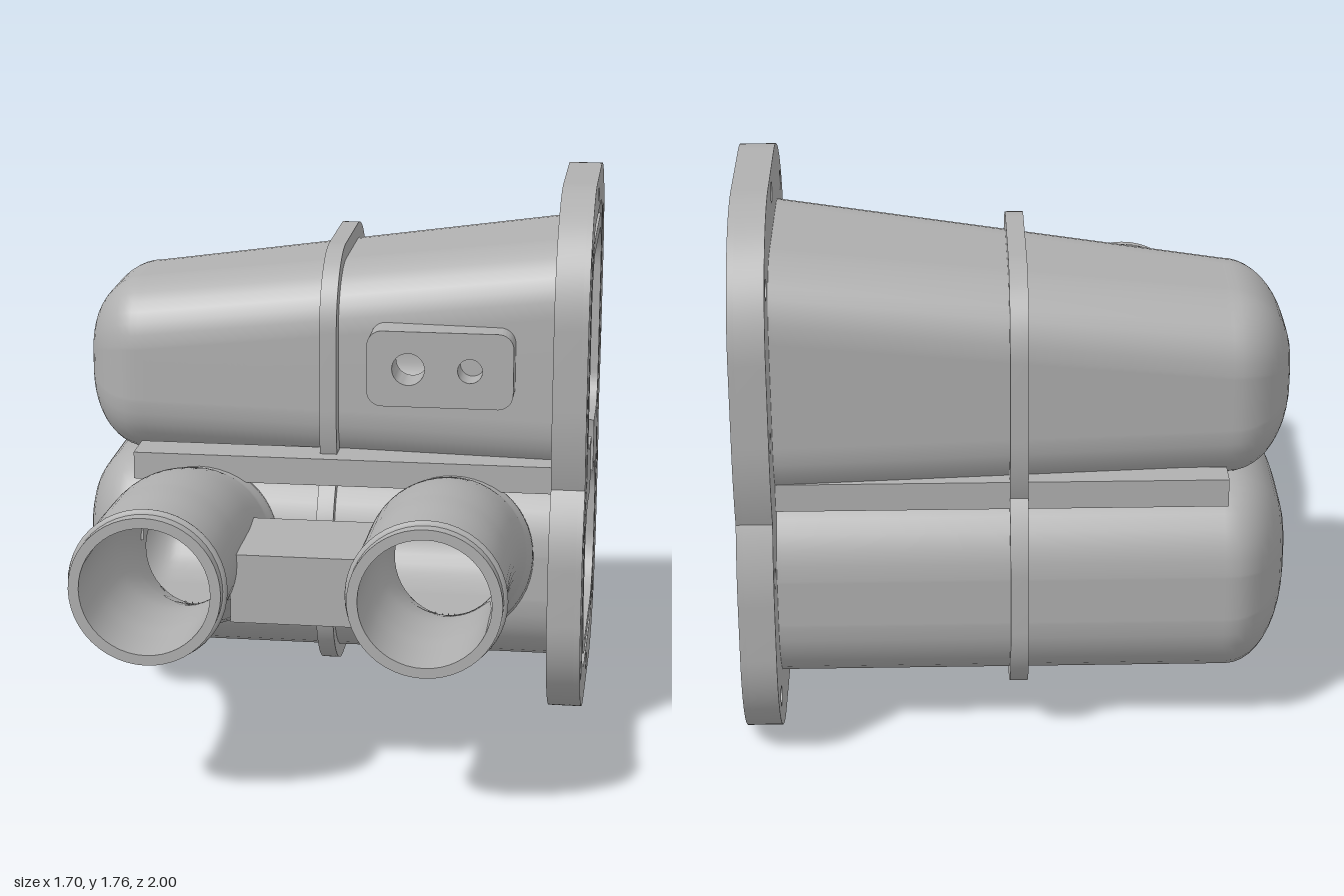
import * as THREE from 'three';
import { mergeVertices, toCreasedNormals } from 'three/addons/utils/BufferGeometryUtils.js';

const PI = Math.PI, lerp = THREE.MathUtils.lerp;

// Cross-sections are drawn in (u, y) with u = -z, and run along x.
function alongX(geometry, x = 0) {
  return geometry.rotateY(PI / 2).translate(x, 0, 0);
}

// Two-lobed outline: a = lower lobe sides, b = upper lobe sides, w = waist sides.
function twoLobes(a, b, w, yb, rb, yt, rt, yl, yu, wy = 0.83) {
  const s = new THREE.Shape();
  s.moveTo(w[0], wy);
  s.quadraticCurveTo(a[0], (wy + yl) / 2, a[0], yl);
  s.absarc(a[0] + rb, yb + rb, rb, PI, 1.5 * PI);
  s.absarc(a[1] - rb, yb + rb, rb, 1.5 * PI, 2 * PI);
  s.lineTo(a[1], yl);
  s.quadraticCurveTo(a[1], (wy + yl) / 2, w[1], wy);
  s.quadraticCurveTo(b[1], (wy + yu) / 2, b[1], yu);
  s.absarc(b[1] - rt, yt - rt, rt, 0, PI / 2);
  s.absarc(b[0] + rt, yt - rt, rt, PI / 2, PI);
  s.lineTo(b[0], yu);
  s.quadraticCurveTo(b[0], (wy + yu) / 2, w[0], wy);
  return s;
}

// Both chamber mouths joined by the slot in the divider.
function mouthPath() {
  const s = new THREE.Path();
  s.moveTo(0.31, 0.71);
  s.absarc(0.16, 0.55, 0.16, PI / 2, PI);
  s.absarc(0.2, 0.42, 0.2, PI, 1.5 * PI);
  s.absarc(0.58, 0.42, 0.2, 1.5 * PI, 2 * PI);
  s.absarc(0.62, 0.55, 0.16, 0, PI / 2);
  s.lineTo(0.52, 0.71);
  s.quadraticCurveTo(0.54, 0.8, 0.52, 0.89);
  s.absarc(0.65, 1.01, 0.12, 1.5 * PI, 2 * PI);
  s.absarc(0.6, 1.37, 0.17, 0, PI / 2);
  s.absarc(0.22, 1.37, 0.17, PI / 2, PI);
  s.absarc(0.17, 1.01, 0.12, PI, 1.5 * PI);
  s.lineTo(0.31, 0.89);
  s.quadraticCurveTo(0.29, 0.8, 0.31, 0.71);
  return s;
}

function circle(x, y, r) {
  return new THREE.Path().absarc(x, y, r, 0, 2 * PI);
}

function extrude(shape, holes, depth) {
  shape.holes.push(...holes);
  const g = new THREE.ExtrudeGeometry(shape, { depth, bevelEnabled: false, curveSegments: 16 });
  return toCreasedNormals(g, 0.6);
}

// Rounded rectangle [u0, u1, y0, y1, r] as a counter-clockwise list of points.
function section([u0, u1, y0, y1, r]) {
  const corners = [[u1 - r, y0 + r, -PI / 2], [u1 - r, y1 - r, 0], [u0 + r, y1 - r, PI / 2], [u0 + r, y0 + r, PI]];
  const pts = [];
  corners.forEach(([cu, cy, a], k) => {
    for (let i = 0; i <= 8; i++) {
      const t = a + (i / 8) * PI / 2;
      pts.push([cu + r * Math.cos(t), cy + r * Math.sin(t)]);
    }
    const [nu, ny, na] = corners[(k + 1) % 4], p = pts[pts.length - 1];
    const q = [nu + r * Math.cos(na), ny + r * Math.sin(na)];
    for (let i = 1; i < 18; i++) pts.push([lerp(p[0], q[0], i / 18), lerp(p[1], q[1], i / 18)]);
  });
  return pts;
}

// Tapered chamber wall with a domed end; round cuts are made in its front side.
function chamberWall(far, near, dome, cuts, inward) {
  const xs = 70, ds = 12, pos = [], index = [];
  let n = 0;
  for (let i = 0; i <= xs + ds; i++) {
    const k = Math.min(i / xs, 1), a = Math.max(0, i - xs) / ds * PI / 2;
    const s = near.map((v, j) => lerp(v, far[j], k));
    const cu = (s[0] + s[1]) / 2, cy = (s[2] + s[3]) / 2;
    const f = 0.12 + 0.88 * Math.cos(a), x0 = lerp(0.745, -0.65, k) - dome * Math.sin(a);
    const ring = section(s);
    n = ring.length;
    for (const p of ring) {
      let x = x0, y = cy + (p[1] - cy) * f;
      const u = cu + (p[0] - cu) * f;
      for (const [hx, hy, r] of cuts) {
        const d = Math.hypot(x - hx, y - hy);
        if (u < 0.2 && d > 0 && Math.abs(d - r) < 0.011) {
          x = hx + (x - hx) * r / d;
          y = hy + (y - hy) * r / d;
        }
      }
      pos.push(u, y, x);
    }
  }
  const isCut = (t) => {
    const m = [0, 1, 2].map((c) => t.reduce((sum, v) => sum + pos[v * 3 + c] / 3, 0));
    return m[0] < 0.2 && cuts.some(([hx, hy, r]) => Math.hypot(m[2] - hx, m[1] - hy) < r);
  };
  const add = (a, b, c) => { if (!isCut([a, b, c])) index.push(...(inward ? [a, c, b] : [a, b, c])); };
  for (let i = 0; i < xs + ds; i++) {
    for (let j = 0; j < n; j++) {
      const a = i * n + j, b = i * n + (j + 1) % n;
      add(a, a + n, b);
      add(b, a + n, b + n);
    }
  }
  const last = (xs + ds) * n;
  for (let j = 1; j < n - 1; j++) add(last, last + j + 1, last + j);
  const g = new THREE.BufferGeometry();
  g.setAttribute('position', new THREE.Float32BufferAttribute(pos, 3));
  g.setIndex(index);
  g.computeVertexNormals();
  return alongX(g);
}

// Bent pipe whose radius depends on z.
function pipeWall(curve, radiusAt, inward) {
  const seg = 90, radial = 48;
  let g = new THREE.TubeGeometry(curve, seg, 1, radial);
  const p = g.attributes.position, v = new THREE.Vector3();
  for (let i = 0; i <= seg; i++) {
    const c = curve.getPointAt(i / seg);
    for (let j = 0; j <= radial; j++) {
      const k = i * (radial + 1) + j;
      v.fromBufferAttribute(p, k).sub(c).multiplyScalar(radiusAt(c.z)).add(c);
      p.setXYZ(k, v.x, v.y, v.z);
    }
  }
  g.deleteAttribute('uv');
  g.deleteAttribute('normal');
  g = mergeVertices(g, 1e-5);
  if (inward) g.setIndex(Array.from(g.index.array).reverse());
  g.computeVertexNormals();
  return g;
}

export function createModel() {
  const model = new THREE.Group();
  const metal = new THREE.MeshStandardMaterial({ color: 0xb0b0b0 });
  metal.name = 'castGrey';
  const add = (name, geometry, parent = model) => {
    const m = new THREE.Mesh(geometry, metal);
    m.name = name;
    parent.add(m);
    return m;
  };
  const box = (name, x0, x1, y0, y1, z0, z1) => add(name,
    new THREE.BoxGeometry(x1 - x0, y1 - y0, z1 - z0).translate((x0 + x1) / 2, (y0 + y1) / 2, (z0 + z1) / 2));

  // Upper and lower chambers
  const ports = [-0.42, 0.42].map((x) => [x, 0.555, 0.205]);
  const sensor = [[0.27, 1.2, 0.055]];
  add('upperChamber', chamberWall([0.1, 0.73, 0.81, 1.4, 0.2], [0.01, 0.82, 0.8, 1.58, 0.2], 0.2, sensor, false));
  add('upperCavity', chamberWall([0.14, 0.69, 0.89, 1.36, 0.14], [0.05, 0.77, 0.89, 1.54, 0.16], 0.155, sensor, true));
  const low = [-0.05, 0.84, 0.17, 0.83, 0.25], lowIn = [0, 0.78, 0.22, 0.71, 0.19];
  add('lowerChamber', chamberWall(low, low, 0.2, ports, false));
  add('lowerCavity', chamberWall(lowIn, lowIn, 0.155, ports, true));

  // Web and divider between the chambers
  box('frontWeb', -0.64, 0.74, 0.79, 0.88, -0.1, 0.04);
  box('backWeb', -0.64, 0.74, 0.79, 0.88, -0.78, -0.69);
  box('divider', 0.45, 0.735, 0.715, 0.885, -0.63, -0.2);

  // End flange with bolt holes and a gasket groove
  const bolts = () => [[0.42, 1.69], [-0.025, 1.565], [0.855, 1.55], [-0.095, 1.1], [0.915, 1.085],
    [-0.135, 0.655], [0.92, 0.635], [-0.065, 0.195], [0.83, 0.175], [0.38, 0.07]].map(([u, y]) => circle(u, y, 0.032));
  const rim = () => twoLobes([-0.21, 1], [-0.16, 0.99], [-0.12, 0.945], 0, 0.4, 1.76, 0.4, 0.58, 1.1);
  const grooveOuter = twoLobes([-0.085, 0.865], [-0.03, 0.855], [0, 0.82], 0.13, 0.28, 1.635, 0.26, 0.62, 1.0);
  const grooveInner = twoLobes([-0.045, 0.825], [0.005, 0.815], [0.04, 0.78], 0.175, 0.24, 1.59, 0.215, 0.62, 1.0);
  add('flangePlate', alongX(extrude(rim(), [mouthPath(), ...bolts()], 0.09), 0.74));
  add('flangeFace', alongX(extrude(rim(), [grooveOuter, ...bolts()], 0.02), 0.83));
  add('mouthLip', alongX(extrude(grooveInner, [mouthPath()], 0.02), 0.83));

  // Stiffening rib around the middle
  const rib = twoLobes([-0.09, 0.88], [0, 0.83], [0.04, 0.79], 0.125, 0.29, 1.54, 0.25, 0.6, 1.03);
  const ribHole = twoLobes([-0.02, 0.81], [0.07, 0.76], [0.11, 0.72], 0.195, 0.22, 1.47, 0.18, 0.6, 1.03);
  add('middleRib', alongX(extrude(rib, [ribHole], 0.056), -0.028));

  // Sensor boss on the upper chamber
  const boss = new THREE.Shape();
  boss.absarc(0.185, 1.125, 0.05, PI, 1.5 * PI);
  boss.absarc(0.56, 1.125, 0.05, 1.5 * PI, 2 * PI);
  boss.absarc(0.56, 1.275, 0.05, 0, PI / 2);
  boss.absarc(0.185, 1.275, 0.05, PI / 2, PI);
  add('sensorBoss', extrude(boss, [circle(0.27, 1.2, 0.053), circle(0.47, 1.2, 0.04)], 0.135).translate(0, 0, -0.065));

  // Bent pipes with collars and hose beads
  const path = new THREE.CatmullRomCurve3([[-0.04, 0.54], [0.1, 0.592], [0.22, 0.635], [0.45, 0.7], [0.7, 0.728], [0.85, 0.73], [1, 0.73]]
    .map(([z, y]) => new THREE.Vector3(0, y, z)));
  const outerRadius = (z) => {
    if (z < 0.09) return 0.265;
    if (z < 0.14) return lerp(0.265, 0.25, (z - 0.09) / 0.05);
    return lerp(0.248, 0.232, Math.min((z - 0.14) / 0.5, 1));
  };
  for (const [name, x] of [['rightPipe', -0.42], ['leftPipe', 0.42]]) {
    const pipe = new THREE.Group();
    pipe.name = name;
    pipe.position.x = x;
    add('pipeOuter', pipeWall(path, outerRadius, false), pipe);
    add('pipeBore', pipeWall(path, () => 0.2, true), pipe);
    add('pipeEnd', new THREE.RingGeometry(0.2, 0.232, 48).translate(0, 0.73, 1), pipe);
    add('hoseBead', new THREE.TorusGeometry(0.228, 0.016, 10, 48).translate(0, 0.73, 0.945), pipe);
    model.add(pipe);
  }

  // Block bridging the pipes
  box('pipeBridge', -0.21, 0.21, 0.54, 0.76, 0.32, 0.7);
  return model;
}
